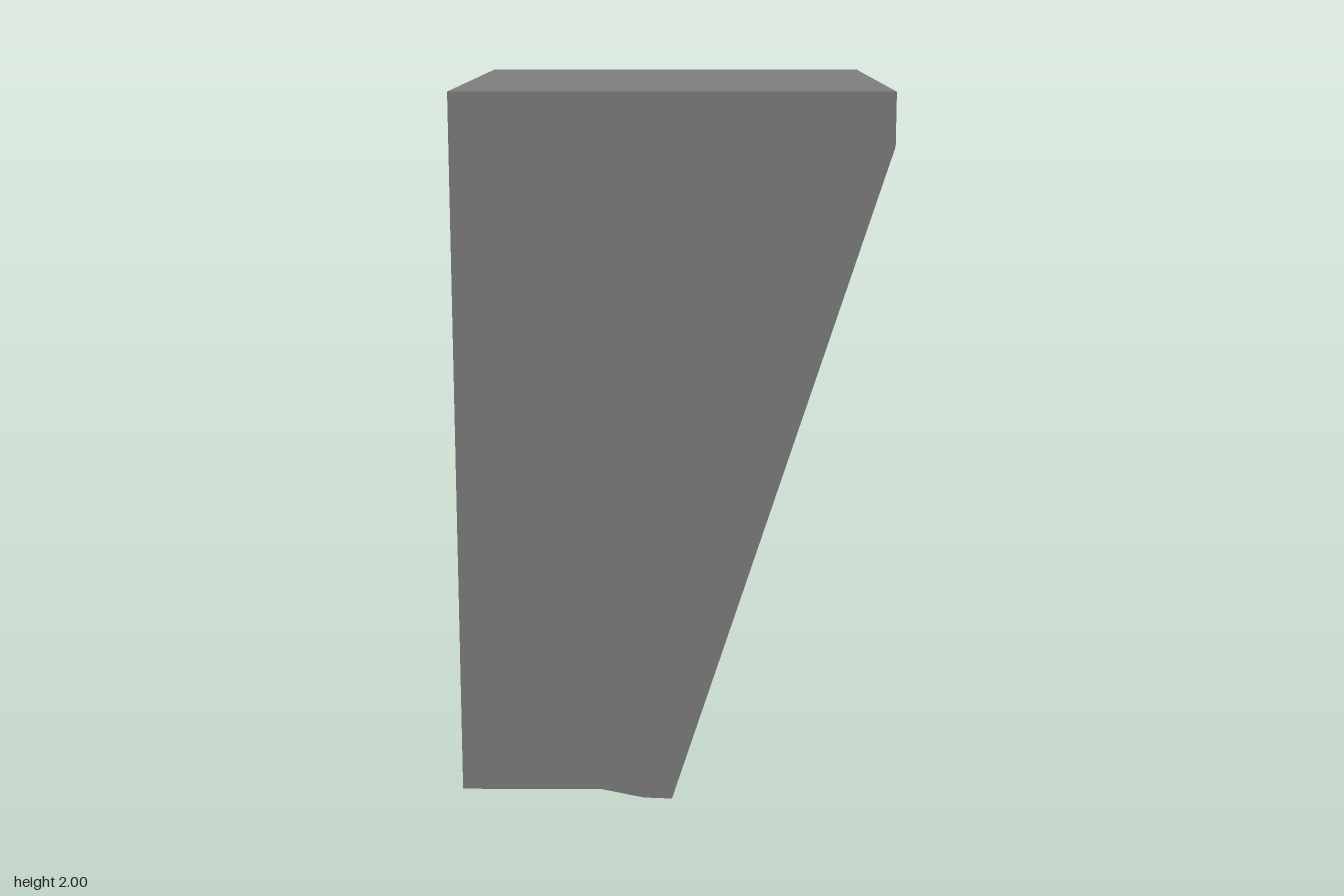
import * as THREE from 'three';

const HALF_W = 0.597, HALF_D = 0.667, BACK = -0.145, TOP = 2;

const shapeFrom = (points) => new THREE.Shape(points.map(([a, b]) => new THREE.Vector2(a, b)));

export function createModel() {
  const group = new THREE.Group();
  const grey = new THREE.MeshStandardMaterial({ color: 0x808080 });
  grey.name = 'grey';

  const add = (name, geometry) => {
    const mesh = new THREE.Mesh(geometry, grey);
    mesh.name = name;
    group.add(mesh);
  };

  // Thin upright plate drawn in (z, y), filling x - thickness .. x
  const sidePlate = (points, x, thickness = 0.006) =>
    new THREE.ExtrudeGeometry(shapeFrom(points), { depth: thickness, bevelEnabled: false })
      .rotateY(-Math.PI / 2)
      .translate(x, 0, 0);

  // Tapered body, one side sloping outward to the top
  const body = new THREE.ExtrudeGeometry(shapeFrom([
    [-HALF_W, 0.028], [-0.2, 0.028], [-0.08, 0.003], [0, 0],
    [HALF_W, 1.855], [HALF_W, TOP], [-HALF_W, TOP],
  ]), { depth: HALF_D - BACK, bevelEnabled: false }).translate(0, 0, BACK);

  // The raised bottom edge at the front slopes down to the floor at the back
  const pos = body.attributes.position;
  for (let i = 0; i < pos.count; i++) {
    if (pos.getZ(i) < 0 && pos.getY(i) < 0.1) pos.setY(i, 0);
  }
  body.computeVertexNormals();
  add('body', body);

  // Top slab overhanging the back
  const slabDepth = BACK + HALF_D;
  add('topOverhang', new THREE.BoxGeometry(2 * HALF_W, 0.045, slabDepth)
    .translate(0, TOP - 0.0225, BACK - slabDepth / 2));

  // Triangular flange continuing the straight side
  add('sideFlange', sidePlate([
    [BACK, 0], [BACK, TOP], [-HALF_D, TOP], [-HALF_D, 1.8], [-0.16, 0.03],
  ], -HALF_W + 0.006));

  // Narrow lip hanging below the overhang on the sloping side
  add('sideLip', sidePlate([
    [BACK, 1.855], [BACK, TOP], [-HALF_D, TOP], [-HALF_D, 1.92], [-0.657, 1.875],
  ], HALF_W));

  return group;
}
